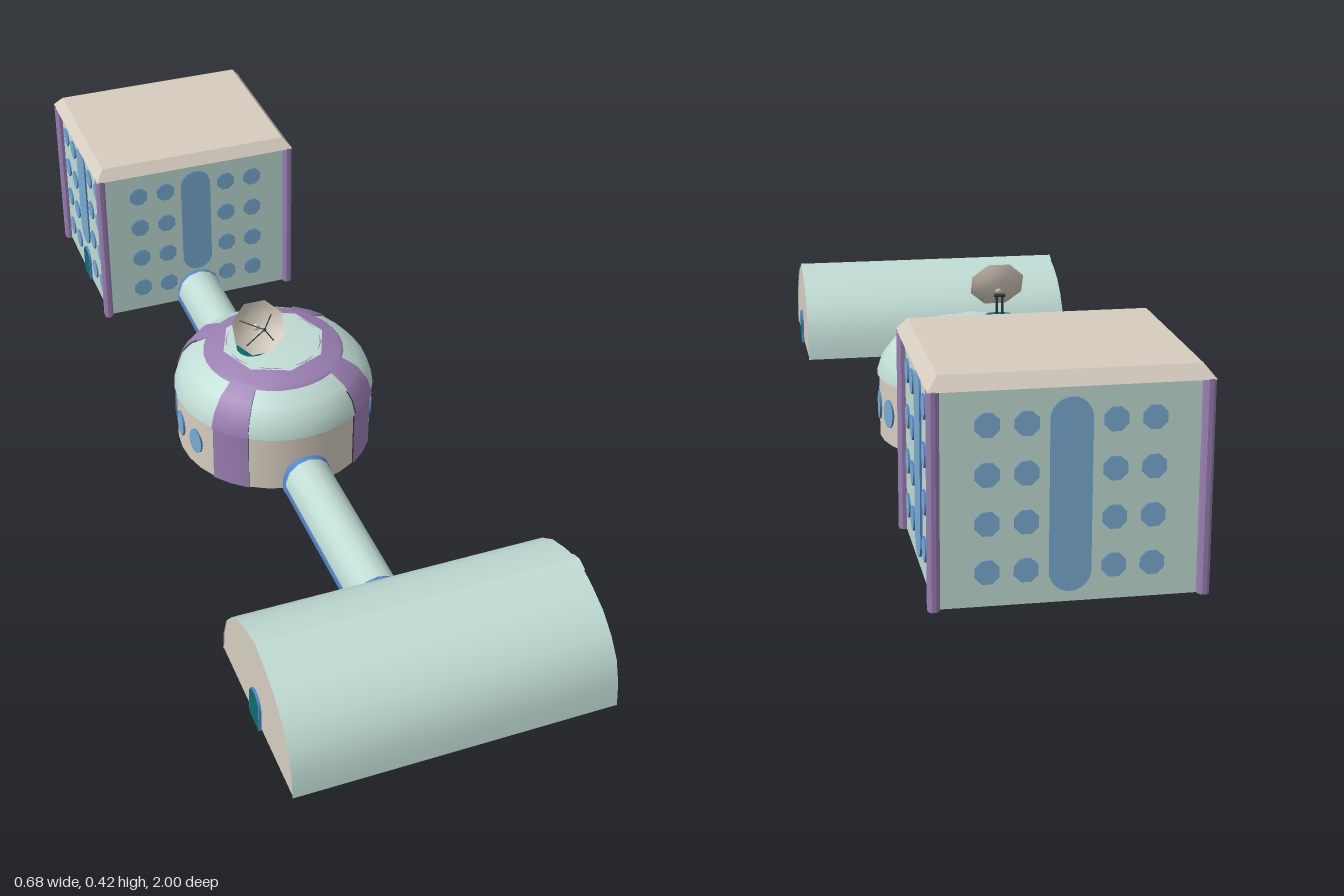
import * as THREE from 'three';
import { toCreasedNormals } from 'three/addons/utils/BufferGeometryUtils.js';

const paint = (name, color) => {
  const m = new THREE.MeshStandardMaterial({ color, side: THREE.DoubleSide });
  m.name = name;
  return m;
};

export function createModel() {
  const teal = paint('pale teal panel', 0xc0dcd4);
  const beige = paint('warm beige', 0xd6cdbf);
  const purple = paint('purple trim', 0x9a7fb2);
  const glass = paint('window blue', 0x7aabd2);
  const blue = paint('frame blue', 0x5586c4);
  const door = paint('dark teal', 0x0f6a70);
  const dark = paint('dark metal', 0x2b3838);

  const model = new THREE.Group();
  const group = (name, parent = model) => {
    const g = new THREE.Group();
    g.name = name;
    parent.add(g);
    return g;
  };
  const add = (parent, name, geo, mat, x = 0, y = 0, z = 0) => {
    const m = new THREE.Mesh(geo, mat);
    m.name = name;
    m.position.set(x, y, z);
    parent.add(m);
    return m;
  };
  // open-bottomed vault running along x, from a [z, y] profile
  const vault = (profile, length) => {
    const g = new THREE.PlaneGeometry(1, 1, 1, profile.length - 1);
    const p = g.attributes.position;
    profile.forEach(([z, y], i) => {
      p.setXYZ(2 * i, -length / 2, y, z);
      p.setXYZ(2 * i + 1, length / 2, y, z);
    });
    return toCreasedNormals(g, 0.75);
  };
  const mirrored = half => [...half.map(([z, y]) => [-z, y]), ...half.slice(0, -1).reverse()];
  const polygon = pts => new THREE.Shape(pts.map(([x, y]) => new THREE.Vector2(x, y)));
  const extrude = (shape, depth) =>
    new THREE.ExtrudeGeometry(shape, { depth, bevelEnabled: false, curveSegments: 6 });
  // upright panel with a rounded top, and optionally a rounded bottom
  const arch = (w, y0, y1, roundBottom) => {
    const s = new THREE.Shape();
    if (roundBottom) s.absarc(0, y0 + w, w, Math.PI, 2 * Math.PI, false);
    else s.moveTo(-w, y0).lineTo(w, y0);
    s.absarc(0, y1 - w, w, 0, Math.PI, false);
    s.closePath();
    return s;
  };
  const porthole = (parent, x, y, z, w, h, sides) => {
    const g = new THREE.CylinderGeometry(1, 1, 0.006, sides).rotateX(Math.PI / 2);
    g.rotateZ(Math.PI / 8).scale(w, h, 1);
    return add(parent, 'window', g, [blue, glass, glass], x, y, z);
  };
  const doorway = (parent, w, h, z) => {
    add(parent, 'doorFrame', extrude(arch(w, 0, h), 0.005), blue, 0, 0, z);
    add(parent, 'doorLeaf', new THREE.ShapeGeometry(arch(w - 0.002, 0, h - 0.002)), door, 0, 0, z + 0.0055);
  };

  // hangar
  const hangar = group('hangar');
  hangar.position.z = 0.8;
  const hangarLine = mirrored([[0.2, 0], [0.193, 0.052], [0.176, 0.1], [0.145, 0.138], [0.105, 0.168], [0.055, 0.188], [0, 0.203]]);
  add(hangar, 'hangarRoof', vault(hangarLine, 0.666), teal);
  add(hangar, 'roofRidge', vault([[-0.024, 0.199], [0, 0.207], [0.024, 0.199]], 0.668), teal);
  for (const s of [-1, 1]) {
    const end = group('hangarEnd', hangar);
    end.rotation.y = s * Math.PI / 2;
    add(end, 'endWall', new THREE.ShapeGeometry(polygon(hangarLine)), beige, 0, 0, 0.331);
    doorway(end, 0.028, 0.08, 0.3325);
  }

  // corridors with end collars and skirting
  const tubeLine = mirrored([[0.052, 0], [0.051, 0.03], [0.043, 0.056], [0.025, 0.073], [0, 0.08]]);
  const collarLine = tubeLine.map(([z, y]) => [z * 1.06, y * 1.04]);
  for (const [z0, z1] of [[0.185, 0.612], [-0.6, -0.24]]) {
    const c = group('corridor');
    c.position.z = (z0 + z1) / 2;
    c.rotation.y = Math.PI / 2;
    const len = z1 - z0;
    add(c, 'corridorShell', vault(tubeLine, len), teal);
    for (const s of [-1, 1]) {
      add(c, 'collar', vault(collarLine, 0.018), blue, s * (len / 2 - 0.009));
      add(c, 'skirting', new THREE.BoxGeometry(len, 0.015, 0.003), blue, 0, 0.0075, s * 0.0525);
    }
  }

  // domed hub
  const hub = group('dome');
  hub.position.z = -0.03;
  const lathe = (pts, seg, from, len) =>
    new THREE.LatheGeometry(pts.map(([r, y]) => new THREE.Vector2(r, y)), seg, from, len);
  const step = Math.PI / 16;
  const wall = [[0.22, 0], [0.22, 0.14]];
  const shell = [[0.22, 0.138], [0.225, 0.14], [0.214, 0.175], [0.19, 0.205], [0.152, 0.226]];
  const rib = [[0.223, 0], [0.223, 0.138], [0.228, 0.141], [0.217, 0.177], [0.193, 0.208], [0.152, 0.23]];
  for (let i = 0; i < 4; i++) {
    const a = i * Math.PI / 2;
    add(hub, 'wallPanel', lathe(wall, 6, a - 3 * step, 6 * step), beige);
    add(hub, 'roofPanel', lathe(shell, 6, a - 3 * step, 6 * step), teal);
    add(hub, 'rib', lathe(rib, 2, a + 3 * step, 2 * step), purple);
  }
  add(hub, 'roofRing', lathe([[0.157, 0.224], [0.15, 0.231], [0.104, 0.246]], 32), purple);
  add(hub, 'roofCap', lathe([[0.117, 0.245], [0.06, 0.251], [0, 0.254]], 8), teal);
  for (const side of [-1, 1]) for (const k of [-1, 0, 1]) {
    const a = side * Math.PI / 2 + k * 0.33;
    porthole(hub, 0.22 * Math.sin(a), 0.07, 0.22 * Math.cos(a), 0.022, 0.032, 16).rotation.y = a;
  }

  // dish antenna
  const antenna = group('antenna');
  antenna.position.set(-0.05, 0, -0.02);
  add(antenna, 'antennaBase', new THREE.CylinderGeometry(0.036, 0.039, 0.014, 16), door, 0, 0.252, 0);
  for (const s of [-1, 1])
    add(antenna, 'antennaPost', new THREE.CylinderGeometry(0.003, 0.003, 0.05, 6), dark, s * 0.006, 0.282, 0);
  add(antenna, 'pivot', new THREE.CylinderGeometry(0.004, 0.004, 0.024, 8).rotateZ(Math.PI / 2), dark, 0, 0.306, 0);
  const dish = group('dish', antenna);
  dish.position.set(0, 0.323, 0.035);
  dish.rotation.x = -0.5;
  const bowl = lathe([[0, -0.024], [0.025, -0.02], [0.046, -0.011], [0.062, 0]], 8).rotateX(Math.PI / 2).rotateZ(Math.PI / 8);
  add(dish, 'dishBowl', bowl, beige);
  add(dish, 'dishHub', new THREE.SphereGeometry(0.008, 10, 8), beige, 0, 0, -0.02);
  const feed = new THREE.Vector3(0, 0, 0.045);
  for (const [x, y] of [[-0.036, 0.022], [0.036, 0.022], [-0.032, -0.036], [0.032, -0.036]]) {
    const line = new THREE.LineCurve3(new THREE.Vector3(x, y, -0.01), feed);
    add(dish, 'feedStrut', new THREE.TubeGeometry(line, 1, 0.0013, 5), dark);
  }
  add(dish, 'feed', new THREE.SphereGeometry(0.004, 8, 6), dark, 0, 0, 0.045);

  // apartment block
  const block = group('block');
  block.position.z = -0.79;
  const hx = 0.248, hz = 0.21, rx = 0.234, rz = 0.197;
  const faces = [
    { turn: 0, w: rx, d: rz, low: 0.09 },
    { turn: 1, w: rz, d: rx, low: 0.02 },
    { turn: 2, w: rx, d: rz, low: 0.02 },
    { turn: 3, w: rz, d: rx, low: 0.1, door: true },
  ];
  for (const f of faces) {
    const side = group('blockSide', block);
    side.rotation.y = f.turn * Math.PI / 2;
    add(side, 'blockWall', new THREE.PlaneGeometry(2 * f.w, 0.39), teal, 0, 0.195, f.d);
    add(side, 'tallWindow', extrude(arch(0.037, f.low, 0.37, true), 0.004), [glass, blue], 0, 0, f.d);
    for (const x of [-0.145, -0.077, 0.077, 0.145])
      for (let row = 0; row < 4; row++)
        porthole(side, x, 0.063 + row * 0.088, f.d + 0.001, 0.023, 0.023, 8);
    if (f.door) doorway(side, 0.028, 0.08, f.d);
  }
  // chamfered corner posts
  for (const sx of [-1, 1]) for (const sz of [-1, 1]) {
    const outline = [[0.222, 0.184], [0.228, 0.204], [0.234, hz], [0.242, hz], [hx, 0.204], [hx, 0.19], [0.242, 0.184]];
    const pts = outline.map(([x, z]) => [sx * x, -sz * z]);
    add(block, 'cornerPost', extrude(polygon(pts), 0.392).rotateX(-Math.PI / 2), purple);
  }
  // roof slab with sloped rim
  const roof = new THREE.BoxGeometry(2 * hx, 0.025, 2 * hz);
  const p = roof.attributes.position;
  for (let i = 0; i < p.count; i++) if (p.getY(i) > 0)
    p.setXYZ(i, Math.sign(p.getX(i)) * (hx - 0.02), p.getY(i), Math.sign(p.getZ(i)) * (hz - 0.02));
  roof.computeVertexNormals();
  add(block, 'blockRoof', roof, beige, 0, 0.4035, 0);

  return model;
}
